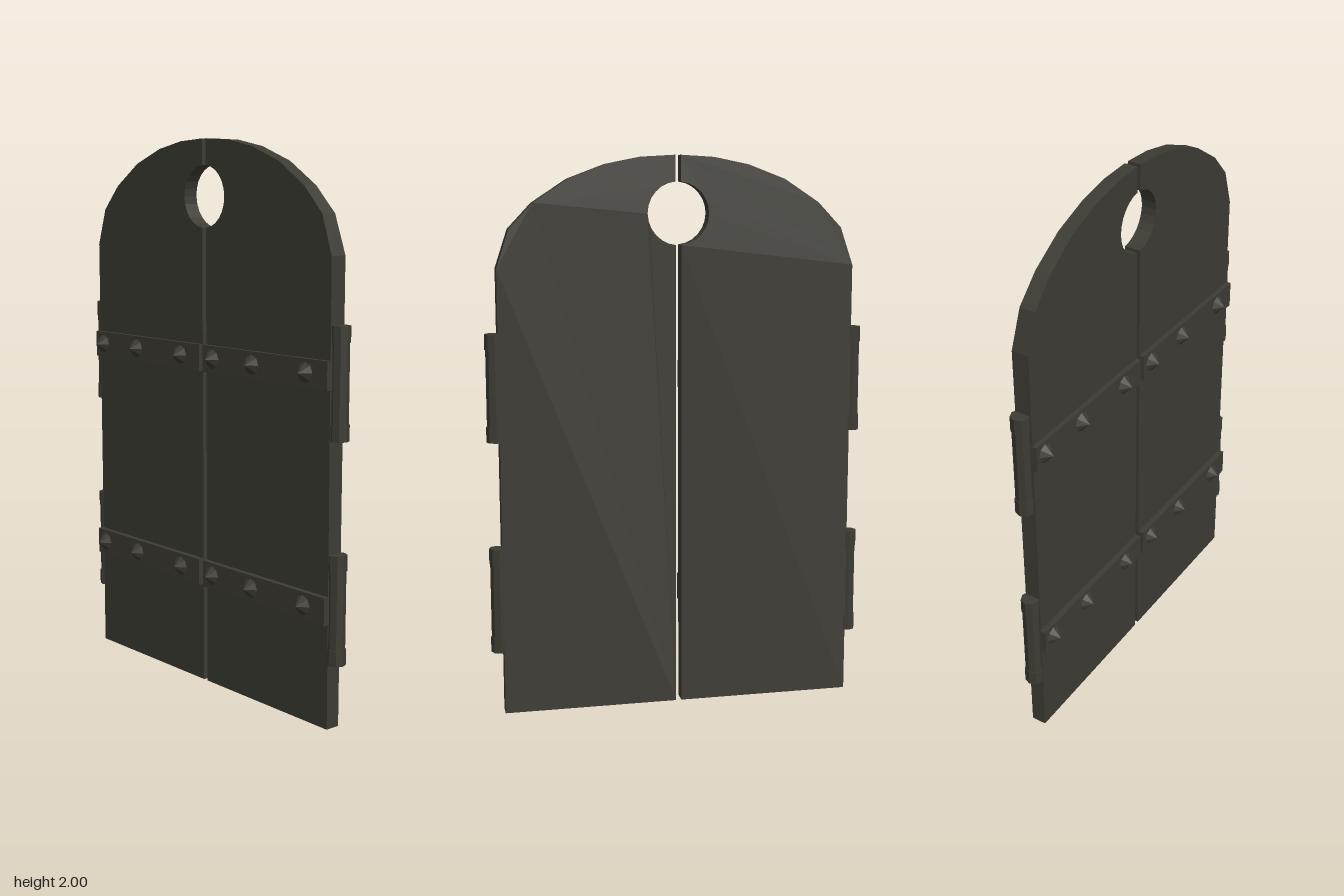
import * as THREE from 'three';

const darkIron = new THREE.MeshStandardMaterial({ color: 0x3c3b33, flatShading: true });
darkIron.name = 'darkOliveIron';

const GAP = 0.01;
const ARCH = [[0.645, 1.61], [0.6, 1.745], [0.515, 1.835], [0.39, 1.917], [0.255, 1.968], [0.13, 1.993], [GAP, 2]];
const HOLE = { y: 1.797, r: 0.111 };

function add(parent, name, geometry, x = 0, y = 0, z = 0) {
  const mesh = new THREE.Mesh(geometry, darkIron);
  mesh.name = name;
  mesh.position.set(x, y, z);
  parent.add(mesh);
  return mesh;
}

// One arched leaf with half of the round opening cut from its inner edge
function leafGeometry(side) {
  const outline = [[GAP, 0], [0.645, 0], ...ARCH];
  const start = Math.acos(GAP / HOLE.r);
  for (let i = 0; i <= 12; i++) {
    const a = start * (1 - i / 6);
    outline.push([HOLE.r * Math.cos(a), HOLE.y + HOLE.r * Math.sin(a)]);
  }
  const shape = new THREE.Shape(outline.map(([x, y]) => new THREE.Vector2(side * x, y)));
  const geometry = new THREE.ExtrudeGeometry(shape, { depth: 1, bevelEnabled: false });
  // Lean the front slightly and thin the back toward the crown
  const p = geometry.attributes.position;
  for (let i = 0; i < p.count; i++) {
    const y = p.getY(i);
    const front = 0.01 * y / 2;
    const back = -0.055 + 0.015 * Math.max(0, (y - 1.61) / 0.39);
    p.setZ(i, p.getZ(i) > 0.5 ? front : back);
  }
  geometry.computeVertexNormals();
  return geometry;
}

// Barrel hinge with a thicker knuckle at each end
function addHinge(parent, side, y) {
  const hinge = new THREE.Group();
  hinge.name = 'hinge';
  hinge.position.set(side * 0.656, y, -0.028);
  add(hinge, 'hingeBarrel', new THREE.CylinderGeometry(0.031, 0.031, 0.3, 8));
  for (const end of [-1, 1]) {
    add(hinge, 'hingeKnuckle', new THREE.CylinderGeometry(0.034, 0.034, 0.056, 8), 0, end * 0.164, 0);
  }
  parent.add(hinge);
}

export function createModel() {
  const model = new THREE.Group();
  model.name = 'archedDoubleDoor';

  for (const side of [-1, 1]) {
    const leaf = new THREE.Group();
    leaf.name = side > 0 ? 'leftLeaf' : 'rightLeaf';
    model.add(leaf);
    add(leaf, 'panel', leafGeometry(side));

    // Straps with pointed studs
    const studs = side > 0 ? [0.063, 0.275, 0.543] : [-0.6, -0.387, -0.12];
    for (const y of [0.42, 1.22]) {
      add(leaf, 'strap', new THREE.BoxGeometry(0.637, 0.098, 0.035), side * 0.3295, y, 0.0065);
      for (const x of studs) {
        const stud = add(leaf, 'stud', new THREE.ConeGeometry(0.037, 0.034, 8), x, y + 0.002, 0.04);
        stud.rotation.x = Math.PI / 2;
      }
    }

    for (const y of [0.422, 1.192]) addHinge(leaf, side, y);
  }
  return model;
}
